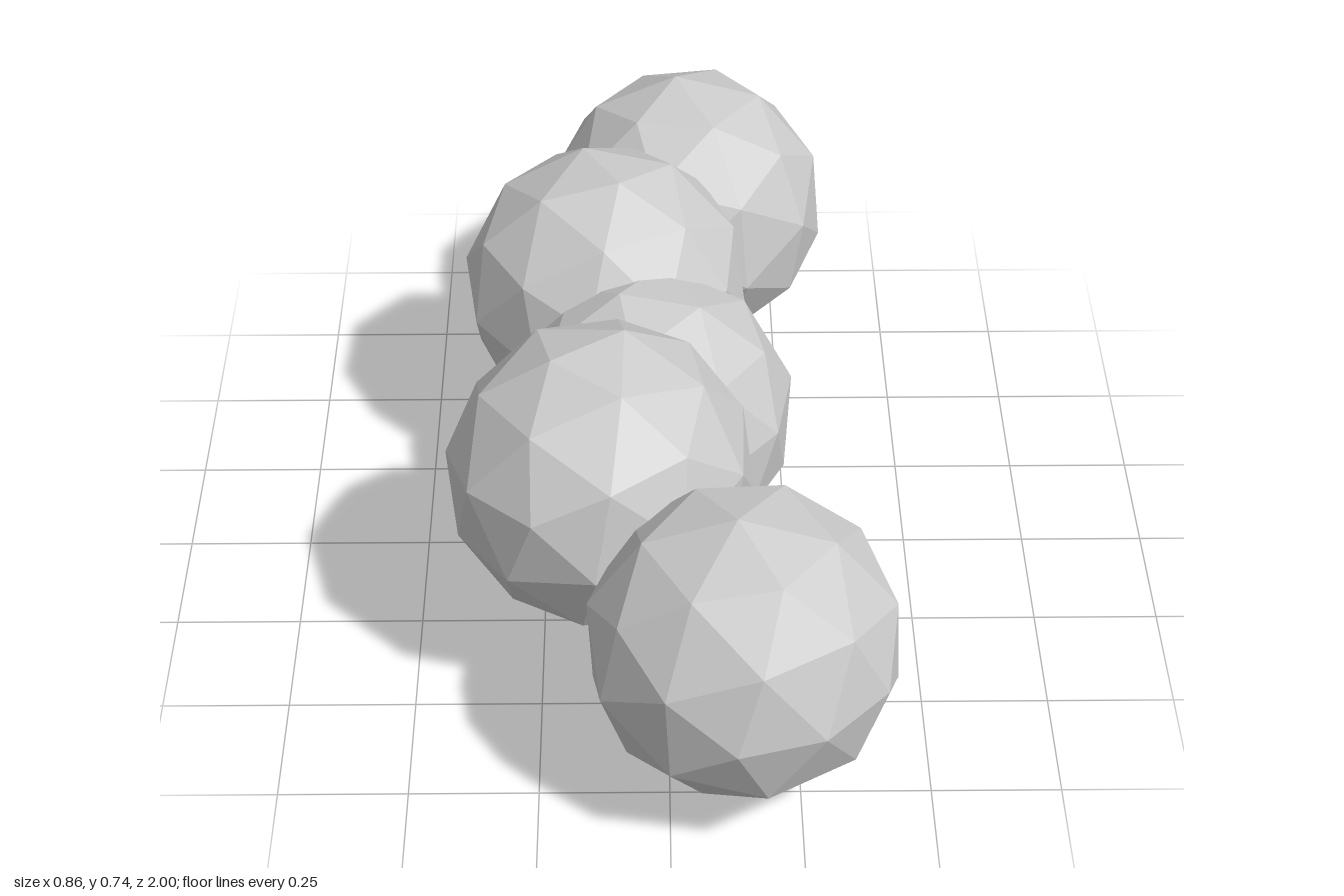
import * as THREE from 'three';

const RADIUS = 0.302;

// Each boulder: centre, direction its pole vertex points, spin about that pole
const BOULDERS = [
  { name: 'frontBoulder', at: [0.137, 0.347, 0.70], pole: [-0.06, -0.05, 1], spin: 0.3 },
  { name: 'frontMiddleBoulder', at: [-0.13, 0.457, 0.33], pole: [-0.3, 0.95, 0.1], spin: 0.9 },
  { name: 'middleBoulder', at: [-0.035, 0.301, -0.065], pole: [0.2, -1, 0], spin: 0.5 },
  { name: 'backMiddleBoulder', at: [-0.125, 0.42, -0.355], pole: [0.1, 0.95, 0.2], spin: 1.1 },
  { name: 'backBoulder', at: [0.05, 0.397, -0.70], pole: [0.03, -0.15, -1], spin: 0.2 },
];

export function createModel() {
  const model = new THREE.Group();
  model.name = 'boulderChain';

  // Faceted 80-sided ball with a vertex on +y
  const ball = new THREE.IcosahedronGeometry(RADIUS, 1);
  const up = new THREE.Vector3(0, 1, 0);
  const corner = new THREE.Vector3(0, 1, (1 + Math.sqrt(5)) / 2).normalize();
  ball.applyQuaternion(new THREE.Quaternion().setFromUnitVectors(corner, up));
  ball.computeVertexNormals();

  const material = new THREE.MeshStandardMaterial({ color: 0xcccccc, flatShading: true });

  // Overlapping boulders in a winding row
  for (const { name, at, pole, spin } of BOULDERS) {
    const boulder = new THREE.Mesh(ball, material);
    boulder.name = name;
    boulder.position.set(...at);
    boulder.quaternion.setFromUnitVectors(up, new THREE.Vector3(...pole).normalize());
    boulder.rotateY(spin);
    model.add(boulder);
  }
  return model;
}
